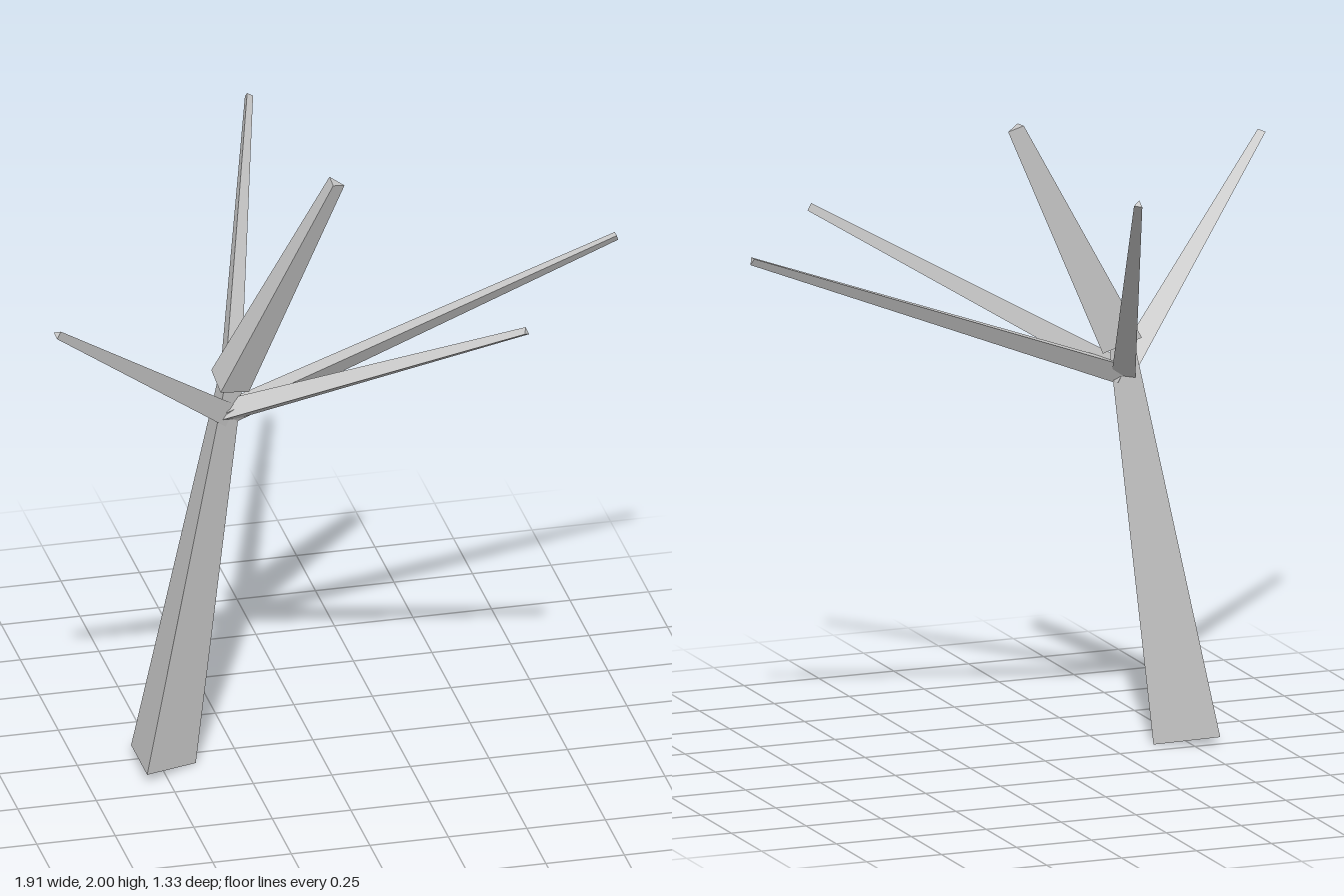
import * as THREE from 'three';

const UP = new THREE.Vector3(0, 1, 0);
const material = new THREE.MeshStandardMaterial({ color: 0xcccccc, flatShading: true });

// Three-sided tapered limb from one point to another, one corner turned toward +x before tilting
function limb(name, from, to, r0, r1) {
  const a = new THREE.Vector3(...from);
  const b = new THREE.Vector3(...to);
  const dir = b.clone().sub(a);
  const geometry = new THREE.CylinderGeometry(r1, r0, dir.length(), 3, 1, false, Math.PI / 2);
  const mesh = new THREE.Mesh(geometry, material);
  mesh.name = name;
  mesh.position.copy(a).add(b).multiplyScalar(0.5);
  mesh.quaternion.setFromUnitVectors(UP, dir.normalize());
  return mesh;
}

export function createModel() {
  const tree = new THREE.Group();
  tree.name = 'bareTree';

  // Leaning trunk and the thicker-based leader on top of it
  tree.add(limb('trunk', [-0.51, 0.022, 0.07], [-0.287, 1.297, 0.07], 0.122, 0.046));
  tree.add(limb('upperTrunk', [-0.29, 1.297, 0.068], [0.039, 1.993, 0.14], 0.078, 0.031));

  // Side branches fanning out from one fork
  const fork = [-0.293, 1.2, 0.07];
  const tips = {
    rightBranch: [-0.95, 1.79, 0.563],
    frontBranch: [0.523, 1.668, 0.65],
    leftBranch: [0.95, 1.668, 0.07],
    backBranch: [-0.047, 1.92, -0.655],
  };
  for (const [name, tip] of Object.entries(tips)) {
    tree.add(limb(name, fork, tip, 0.043, 0.015));
  }
  return tree;
}
